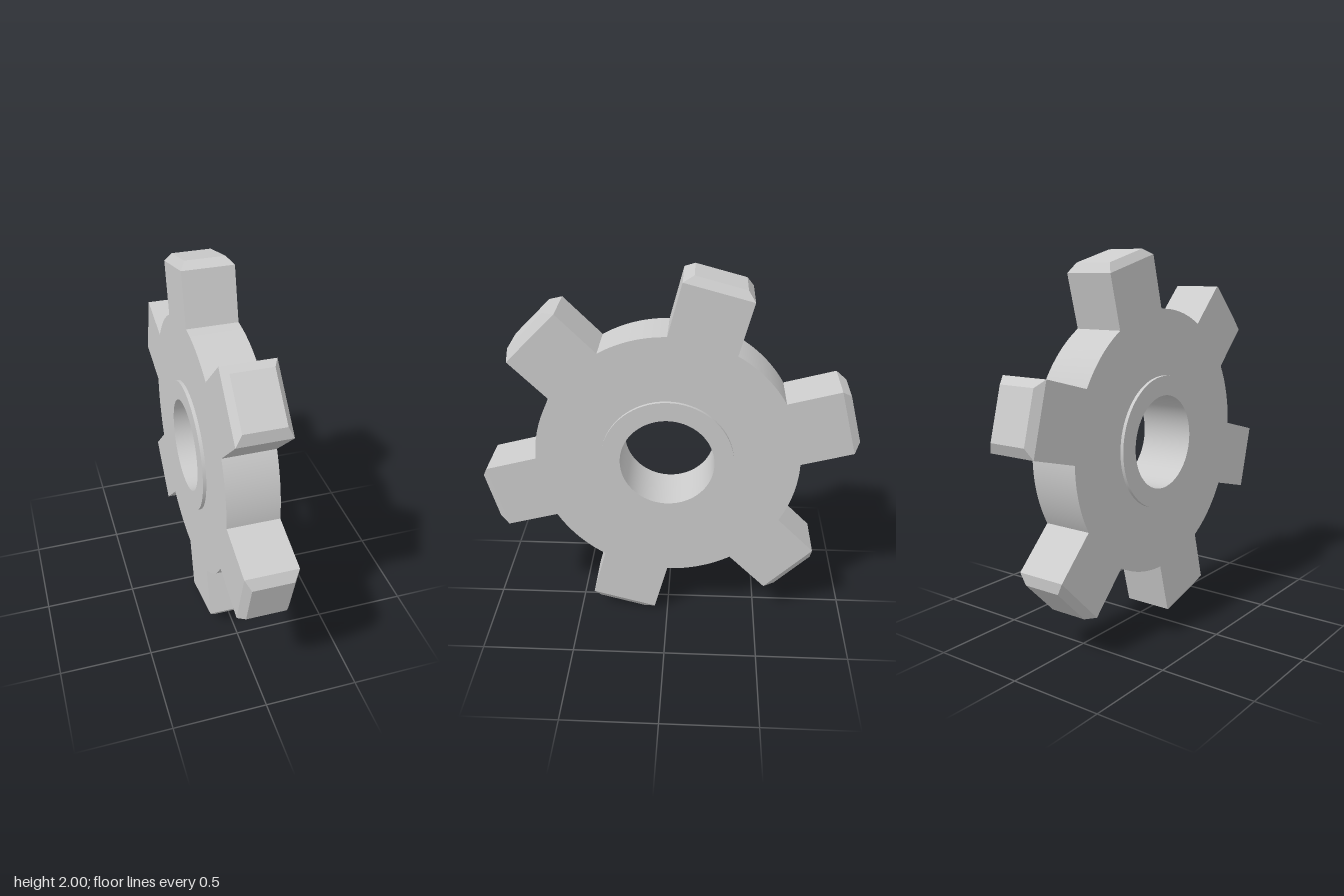
import * as THREE from 'three';
import { toCreasedNormals } from 'three/addons/utils/BufferGeometryUtils.js';

const TEETH = 6;
const ROOT_R = 0.7, SHOULDER_R = 0.96, TIP_R = 1.0;
const HALF_PITCH = Math.PI / 12; // half the angle a tooth covers at its root
const HALF_WIDTH = ROOT_R * Math.sin(HALF_PITCH);
const HALF_DEPTH = 0.135, HUB_HALF_DEPTH = 0.153;
const BORE_R = 0.25, HUB_R = 0.353;

const toothAngle = (i) => Math.PI / 12 + (i * Math.PI * 2) / TEETH;

// Disc and straight tooth sides, cut from one outline
function bodyGeometry() {
  const shape = new THREE.Shape();
  for (let i = 0; i < TEETH; i++) {
    const a = toothAngle(i), c = Math.cos(a), s = Math.sin(a);
    const at = (r, side) => [r * c - side * s, r * s + side * c];
    const rootR = ROOT_R * Math.cos(HALF_PITCH);
    if (i === 0) shape.moveTo(...at(rootR, -HALF_WIDTH));
    shape.lineTo(...at(SHOULDER_R, -HALF_WIDTH));
    shape.lineTo(...at(SHOULDER_R, HALF_WIDTH));
    shape.lineTo(...at(rootR, HALF_WIDTH));
    shape.absarc(0, 0, ROOT_R, a + HALF_PITCH, a + 3 * HALF_PITCH, false);
  }
  const hole = new THREE.Path();
  hole.absarc(0, 0, (BORE_R + HUB_R) / 2, 0, Math.PI * 2, true);
  shape.holes.push(hole);
  const geo = new THREE.ExtrudeGeometry(shape, {
    depth: HALF_DEPTH * 2, bevelEnabled: false, curveSegments: 16,
  });
  geo.translate(0, 0, -HALF_DEPTH);
  return toCreasedNormals(geo, 0.4);
}

// Chamfered tooth end: a thin box whose outer face is pulled in
function tipGeometry() {
  const h = TIP_R - SHOULDER_R;
  const geo = new THREE.BoxGeometry(HALF_WIDTH * 2, h, HALF_DEPTH * 2).toNonIndexed();
  const p = geo.attributes.position;
  for (let i = 0; i < p.count; i++) {
    if (p.getY(i) > 0) {
      p.setX(i, Math.sign(p.getX(i)) * 0.134);
      p.setZ(i, Math.sign(p.getZ(i)) * 0.104);
    }
  }
  geo.translate(0, SHOULDER_R + h / 2, 0);
  geo.computeVertexNormals();
  return geo;
}

// Raised ring with the bore through it
function hubGeometry() {
  const h = HUB_HALF_DEPTH;
  const profile = [[BORE_R, -h], [HUB_R, -h], [HUB_R, h], [BORE_R, h], [BORE_R, -h]]
    .map(([r, y]) => new THREE.Vector2(r, y));
  const geo = new THREE.LatheGeometry(profile, 72);
  geo.rotateX(Math.PI / 2);
  return toCreasedNormals(geo, 0.5);
}

export function createModel() {
  const material = new THREE.MeshStandardMaterial({ color: 0xcccccc });
  const wheel = new THREE.Group();
  wheel.name = 'toothedWheel';
  const add = (name, geo) => {
    const mesh = new THREE.Mesh(geo, material);
    mesh.name = name;
    wheel.add(mesh);
    return mesh;
  };

  add('wheelBody', bodyGeometry());
  add('hub', hubGeometry());
  const tip = tipGeometry();
  for (let i = 0; i < TEETH; i++) {
    add(`toothTip${i + 1}`, tip).rotation.z = toothAngle(i) - Math.PI / 2;
  }

  // Stand the wheel with its axle along x
  wheel.rotation.y = Math.PI / 2;
  wheel.position.y = 1;
  const model = new THREE.Group();
  model.name = 'gear';
  model.add(wheel);
  return model;
}
